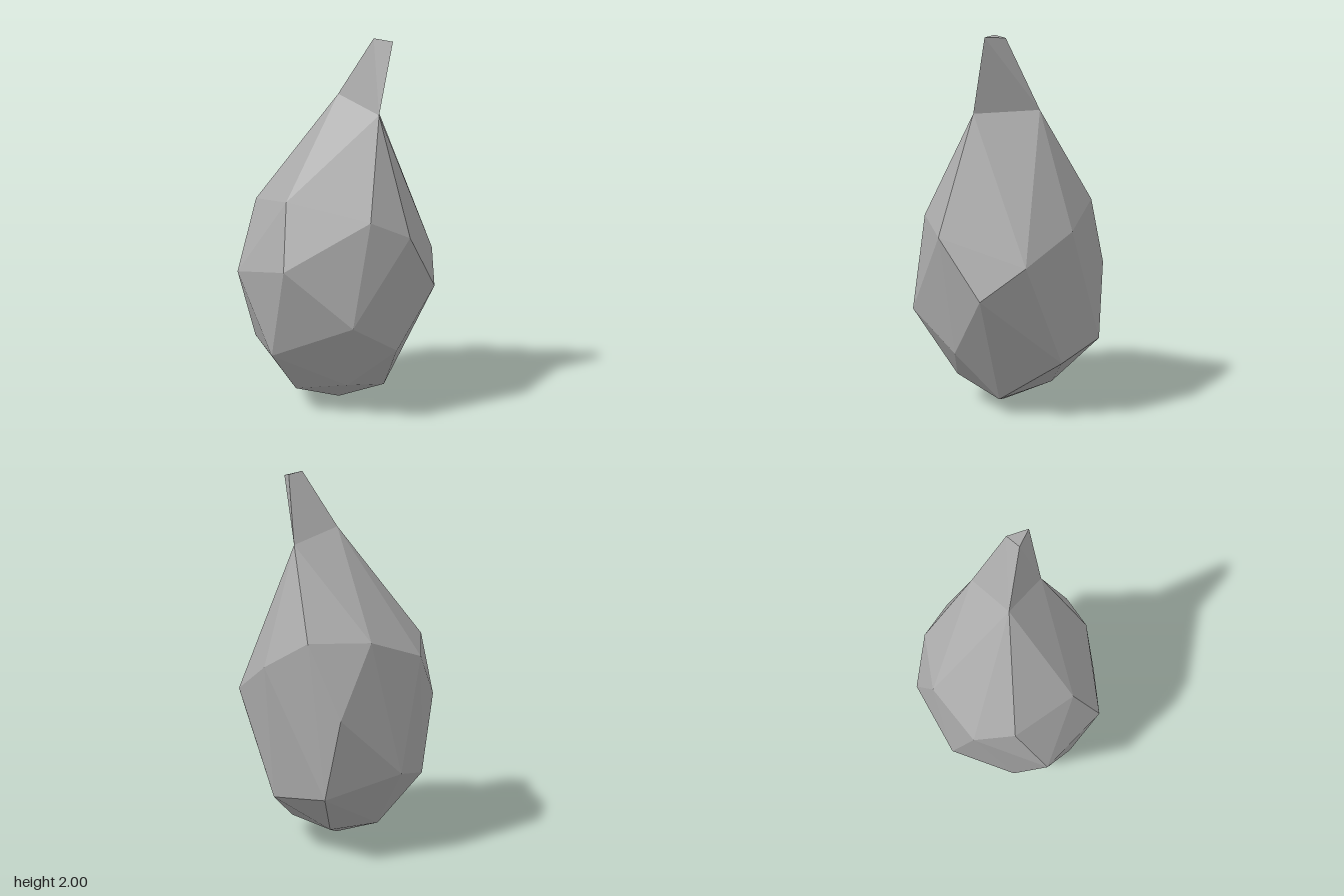
import * as THREE from 'three';
import { ConvexGeometry } from 'three/addons/geometries/ConvexGeometry.js';

// Corner rings from the base upwards: [x, y, z]
const base = [
  [-0.01, 0, -0.035], [0.22, 0.085, -0.15], [0.18, 0.16, 0.16],
  [-0.11, 0.105, 0.235], [-0.28, 0.11, -0.03], [-0.13, 0.11, -0.265],
];
const lowerRing = [
  [-0.11, 0.345, 0.44], [0.34, 0.54, 0.34], [0.4, 0.355, 0.01], [0.095, 0.305, -0.46],
  [-0.26, 0.365, -0.49], [-0.5, 0.46, -0.15], [-0.41, 0.355, 0.22],
];
const middleRing = [
  [0.035, 0.825, 0.515], [0.49, 0.98, 0.04], [0.495, 0.68, -0.22], [0.37, 0.85, -0.41],
  [0.1, 1.01, -0.517], [-0.34, 0.78, -0.465], [-0.5, 1.05, 0.03], [-0.365, 0.765, 0.412],
];
const shoulderRing = [
  [-0.055, 1.16, 0.375], [0.368, 1.07, 0.226], [-0.155, 1.15, -0.485],
  [-0.395, 1.15, -0.28], [-0.39, 1.14, 0.22],
];
const neckRing = [[-0.015, 1.71, -0.035], [0.26, 1.6, -0.015], [0.07, 1.62, -0.3]];
const tipRing = [[0.175, 2, -0.09], [0.285, 1.98, -0.105], [0.2, 1.98, -0.175]];

// Faceted stone chunk spanning the given rings
function chunk(name, rings, material) {
  const points = rings.flat().map((p) => new THREE.Vector3(...p));
  const mesh = new THREE.Mesh(new ConvexGeometry(points), material);
  mesh.name = name;
  return mesh;
}

export function createModel() {
  const stone = new THREE.MeshStandardMaterial({ color: 0xaaaaaa });
  stone.name = 'stone grey';

  const rock = new THREE.Group();
  rock.name = 'pointedRock';
  rock.add(
    chunk('rockBody', [base, lowerRing, middleRing, shoulderRing, neckRing], stone),
    chunk('rockTip', [neckRing, tipRing], stone), // narrow leaning point
  );
  return rock;
}
